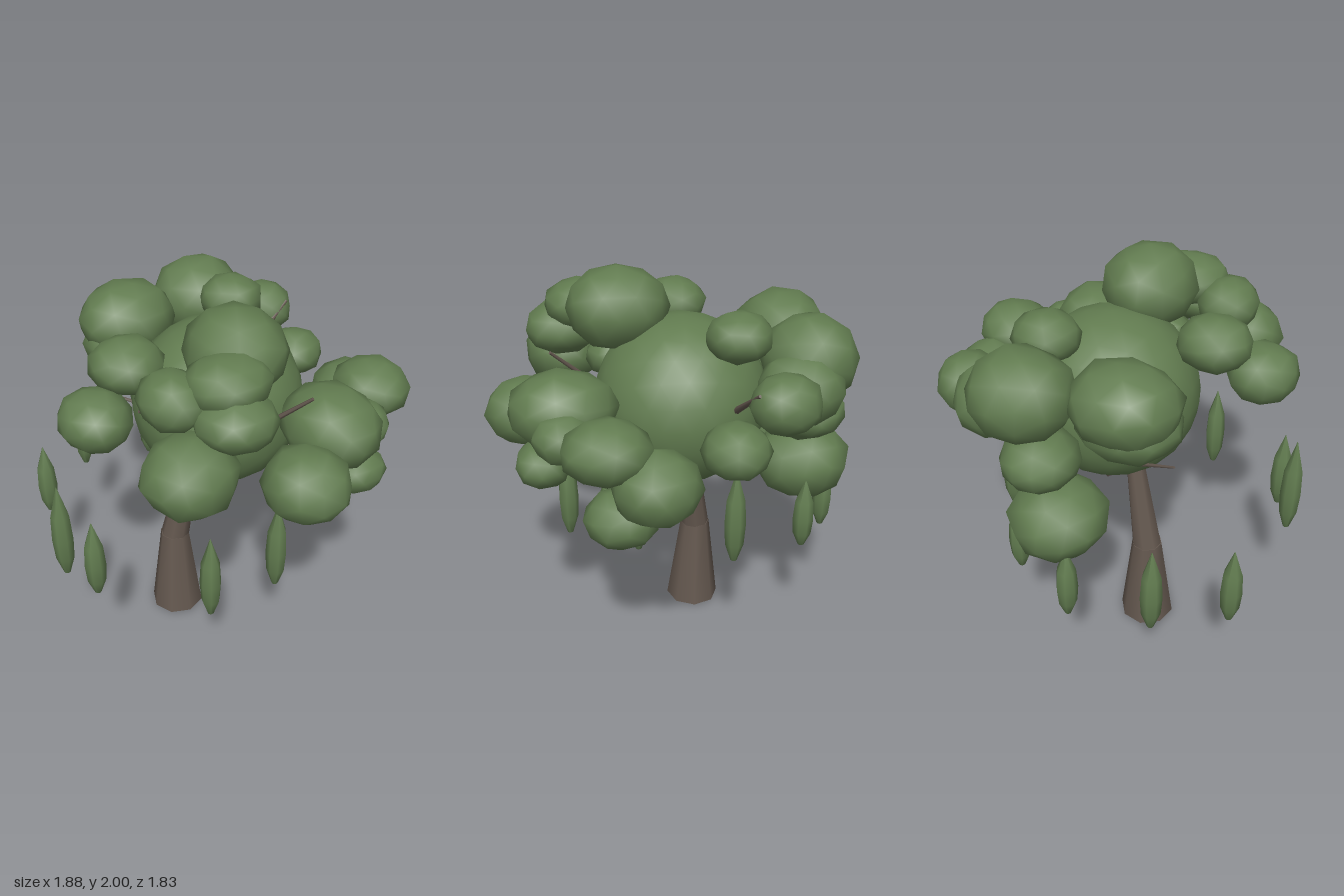
import * as THREE from 'three';
import { mergeVertices } from 'three/addons/utils/BufferGeometryUtils.js';

const bark = new THREE.MeshStandardMaterial({ color: 0x64584f });
bark.name = 'bark';
const foliage = new THREE.MeshStandardMaterial({ color: 0x627c50 });
foliage.name = 'foliage';

// Tapered round limb between two points
function limb(name, from, to, r0, r1, sides = 8) {
  const a = new THREE.Vector3(...from), b = new THREE.Vector3(...to);
  const dir = b.clone().sub(a);
  const mesh = new THREE.Mesh(new THREE.CylinderGeometry(r1, r0, dir.length(), sides), bark);
  mesh.position.copy(a).add(b).multiplyScalar(0.5);
  mesh.quaternion.setFromUnitVectors(new THREE.Vector3(0, 1, 0), dir.normalize());
  mesh.name = name;
  return mesh;
}

// Lumpy, smooth-shaded leaf clump, turned a little differently each time
function clump(name, [x, y, z, rx, ry, rz], detail, turn, lump) {
  let geo = new THREE.IcosahedronGeometry(1.03, detail);
  geo.deleteAttribute('normal');
  geo.deleteAttribute('uv');
  geo = mergeVertices(geo, 1e-3);
  const pos = geo.attributes.position, v = new THREE.Vector3();
  for (let i = 0; i < pos.count; i++) {
    v.fromBufferAttribute(pos, i);
    v.multiplyScalar(1 + lump * Math.sin(5 * v.x + turn) * Math.cos(4 * v.y - 3 * v.z + turn));
    pos.setXYZ(i, v.x, v.y, v.z);
  }
  geo.rotateZ(turn * 0.37).rotateY(turn * 1.3);
  geo.computeVertexNormals();
  const mesh = new THREE.Mesh(geo, foliage);
  mesh.scale.set(rx, ry, rz);
  mesh.position.set(x, y, z);
  mesh.name = name;
  return mesh;
}

export function createModel() {
  const tree = new THREE.Group();
  tree.name = 'tree';

  // Trunk in two leaning sections
  tree.add(limb('lowerTrunk', [-0.18, 0.005, -0.157], [-0.175, 0.5, -0.167], 0.145, 0.08));
  tree.add(limb('upperTrunk', [-0.175, 0.485, -0.167], [-0.085, 1.02, -0.112], 0.078, 0.045));

  // Branches and twigs: from, to, start radius, end radius
  [
    [[-0.09, 0.97, -0.11], [0.07, 0.84, -0.05], 0.035, 0.035],
    [[0.05, 0.835, -0.055], [0.6, 1.1, 0.17], 0.035, 0.022],
    [[0.05, 0.835, -0.055], [0.12, 1.18, 0.14], 0.034, 0.025],
    [[0, 1.43, 0.36], [0.13, 1.65, 0.57], 0.015, 0.008],
    [[0.3, 1.37, -0.26], [0.66, 1.62, -0.33], 0.02, 0.008],
    [[-0.2, 1.42, 0.17], [-0.51, 1.58, 0.14], 0.018, 0.007],
    [[-0.08, 1.15, -0.36], [-0.38, 1.3, -0.52], 0.014, 0.006],
    [[-0.08, 1.15, -0.36], [0.05, 1.24, -0.45], 0.012, 0.006],
  ].forEach(([a, b, r0, r1], i) => tree.add(limb(`branch${i + 1}`, a, b, r0, r1, 6)));

  // Crown: one large core with clumps around it (centre, radii)
  tree.add(clump('crownCore', [0.04, 1.36, -0.06, 0.42, 0.415, 0.42], 3, 0, 0));
  const upper = [
    [-0.06, 1.8, 0.24, 0.23, 0.2, 0.25],
    [0.28, 1.75, -0.3, 0.16, 0.115, 0.155],
    [-0.17, 1.64, -0.59, 0.25, 0.19, 0.225],
    [0.28, 1.64, -0.63, 0.24, 0.21, 0.225],
    [0.44, 1.55, -0.56, 0.18, 0.17, 0.2],
    [0.6, 1.55, -0.46, 0.15, 0.14, 0.16],
    [-0.22, 1.78, 0.42, 0.2, 0.12, 0.18],
    [-0.25, 1.65, 0.52, 0.185, 0.13, 0.18],
    [-0.44, 1.71, 0.32, 0.15, 0.13, 0.17],
    [-0.45, 1.7, -0.07, 0.175, 0.13, 0.17],
  ];
  const lower = [
    [-0.67, 1.53, 0.02, 0.17, 0.14, 0.18],
    [-0.48, 1.45, 0.52, 0.22, 0.18, 0.205],
    [0.02, 1.31, 0.7, 0.2, 0.17, 0.21],
    [0.29, 1.43, 0.52, 0.22, 0.185, 0.26],
    [0.38, 1.2, 0.62, 0.15, 0.11, 0.13],
    [0.48, 1.37, 0.52, 0.13, 0.12, 0.14],
    [0.7, 1.41, 0.33, 0.185, 0.14, 0.2],
    [0.75, 1.25, 0.12, 0.19, 0.17, 0.2],
    [0.58, 1.0, 0.27, 0.165, 0.14, 0.175],
    [0.65, 1.36, -0.24, 0.16, 0.125, 0.155],
    [0.2, 1.33, -0.66, 0.18, 0.13, 0.19],
    [0.12, 1.03, -0.67, 0.23, 0.19, 0.24],
    [-0.18, 1.53, -0.56, 0.24, 0.16, 0.21],
    [-0.14, 1.53, 0.27, 0.13, 0.11, 0.13],
  ];
  upper.forEach((c, i) => tree.add(clump(`upperClump${i + 1}`, c, 1, i, 0.05)));
  lower.forEach((c, i) => tree.add(clump(`lowerClump${i + 1}`, c, 1, i + 3, 0.05)));

  // Hanging spindle-shaped leaf sprays: x, bottom, top, z
  const profile = [[0.001, 0], [0.016, 0.01], [0.046, 0.2], [0.053, 0.42], [0.046, 0.68], [0.001, 1]]
    .map(([r, y]) => new THREE.Vector2(r, y));
  const spray = new THREE.LatheGeometry(profile, 7);
  [
    [-0.88, 0.66, 1.2, -0.03],
    [-0.81, 0.65, 1.09, 0.17],
    [-0.7, 0.56, 0.99, -0.65],
    [-0.37, 0.63, 1.09, -0.86],
    [-0.39, 0.58, 1.06, 0.535],
    [0, 0.57, 1.08, 0.53],
    [0.04, 0.57, 0.98, -0.83],
    [0.3, 0.64, 1.06, 0.18],
    [0.34, 0.7, 1.1, 0.33],
    [0.34, 0.64, 1.02, -0.65],
    [0.52, 0.69, 1.19, -0.27],
  ].forEach(([x, bottom, top, z], i) => {
    const mesh = new THREE.Mesh(spray, foliage);
    mesh.position.set(x, bottom, z);
    mesh.scale.y = top - bottom;
    mesh.rotation.y = i;
    mesh.name = `hangingSpray${i + 1}`;
    tree.add(mesh);
  });

  return tree;
}
